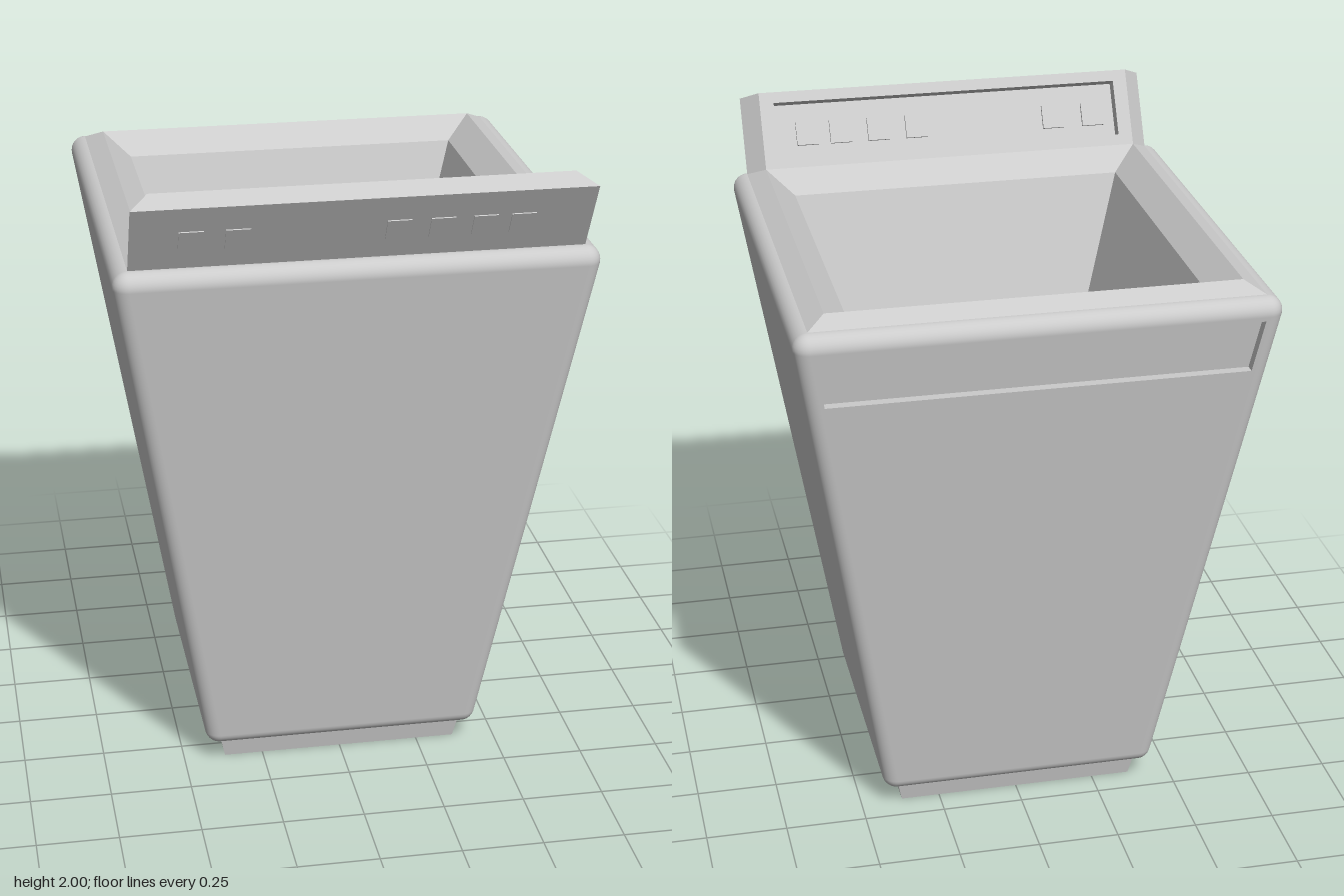
import * as THREE from 'three';

const material = new THREE.MeshStandardMaterial({ color: 0xcccccc });
const ZC = -0.043;                    // body centre in z
const R = 0.045;                      // edge rounding of the body
const LOW = { c: 0.39, y: 0.115 };    // centres of the rounded lower corners
const HIGH = { c: 0.66, y: 1.71 };    // centres of the rounded upper corners
const TILT = -Math.atan2(HIGH.c - LOW.c, HIGH.y - LOW.y);

function addMesh(parent, name, geometry) {
  const mesh = new THREE.Mesh(geometry, material);
  mesh.name = name;
  parent.add(mesh);
  return mesh;
}

// Flat-faced skin through four-cornered rings, the last one closed
function loft(rings, capStart = false) {
  const pos = [];
  const quad = (a, b, c, d) => [a, b, c, a, c, d].forEach(p => pos.push(...p));
  for (let r = 0; r < rings.length - 1; r++) {
    const a = rings[r], b = rings[r + 1];
    for (let i = 0; i < 4; i++) {
      const k = (i + 1) % 4;
      quad(a[i], a[k], b[k], b[i]);
    }
  }
  quad(...rings[rings.length - 1]);
  if (capStart) quad(...[...rings[0]].reverse());
  const g = new THREE.BufferGeometry();
  g.setAttribute('position', new THREE.Float32BufferAttribute(pos, 3));
  g.computeVertexNormals();
  return g;
}

// Horizontal square ring, counter-clockwise from above
const square = (h, y) => [[-h, y, ZC - h], [-h, y, ZC + h], [h, y, ZC + h], [h, y, ZC - h]];

// Upright ring, counter-clockwise from behind
const upright = (h, y0, y1, z) => [[h, y0, z], [-h, y0, z], [-h, y1, z], [h, y1, z]];

// Tapered body with rounded edges; the flat of the back is left open
function shellGeometry() {
  const N = 8, pos = [], nor = [], idx = [];
  const rows = [];
  for (let i = 0; i <= N; i++) {
    rows.push([LOW, THREE.MathUtils.lerp(-Math.PI / 2, TILT, i / N)]);
  }
  for (let i = 0; i <= N; i++) {
    rows.push([HIGH, THREE.MathUtils.lerp(TILT, Math.PI / 2, i / N)]);
  }
  for (const [ctr, phi] of rows) {
    for (let k = 0; k < 4; k++) {
      const sx = k === 0 || k === 3 ? 1 : -1, sz = k < 2 ? 1 : -1;
      for (let j = 0; j <= N; j++) {
        const th = (k + j / N) * Math.PI / 2;
        const n = [Math.cos(phi) * Math.cos(th), Math.sin(phi), Math.cos(phi) * Math.sin(th)];
        pos.push(sx * ctr.c + R * n[0], ctr.y + R * n[1], ZC + sz * ctr.c + R * n[2]);
        nor.push(...n);
      }
    }
  }
  const M = 4 * (N + 1), backFlat = 3 * (N + 1) - 1;
  for (let r = 0; r < rows.length - 1; r++) {
    for (let j = 0; j < M; j++) {
      if (r === N && j === backFlat) continue;
      const k = (j + 1) % M, a = r * M, b = a + M;
      idx.push(a + k, a + j, b + j, a + k, b + j, b + k);
    }
  }
  const g = new THREE.BufferGeometry();
  g.setAttribute('position', new THREE.Float32BufferAttribute(pos, 3));
  g.setAttribute('normal', new THREE.Float32BufferAttribute(nor, 3));
  g.setIndex(idx);
  return g;
}

// Flat of the back with a wide shallow recess below the rim
function backGeometry() {
  const ring = (t0, t1, inset, depth) => {
    const at = (side, t) => {
      const c = THREE.MathUtils.lerp(LOW.c, HIGH.c, t);
      const y = THREE.MathUtils.lerp(LOW.y, HIGH.y, t) + R * Math.sin(TILT);
      return [side * (c - inset), y, ZC - c - R * Math.cos(TILT) + depth];
    };
    return [at(1, t0), at(-1, t0), at(-1, t1), at(1, t1)];
  };
  return loft([ring(0, 1, 0, 0), ring(0.89, 0.992, 0.01, 0), ring(0.89, 0.992, 0.01, 0.03)]);
}

export function createModel() {
  const model = new THREE.Group();
  model.name = 'washingMachine';

  addMesh(model, 'bodyShell', shellGeometry());
  addMesh(model, 'backWithRecess', backGeometry());

  // Raised rim, bevelled mouth and tapering tub
  addMesh(model, 'rimAndTub', loft([
    square(0.66, 1.755), square(0.605, 1.785), square(0.525, 1.72), square(0.34, 1.12),
  ]));

  // Plinth below the body
  const below = (h, y) => square(h, y).reverse();
  addMesh(model, 'plinth', loft([below(0.39, 0.07), below(0.385, 0.07), below(0.37, 0)]));

  // Control panel leaning outwards from the front rim
  const panel = new THREE.Group();
  panel.name = 'controlPanel';
  panel.position.set(0, 1.785, ZC + 0.605);
  panel.rotation.x = Math.PI / 6;
  model.add(panel);
  addMesh(panel, 'panelHousing', loft([
    upright(0.66, 0, 0.248, 0.063),
    upright(0.605, 0, 0.248, 0),
    upright(0.56, 0.035, 0.213, 0),
    upright(0.56, 0.035, 0.213, 0.045),
  ], true));

  // Push buttons, passing right through the panel
  const button = new THREE.BoxGeometry(0.07, 0.075, 0.031);
  for (const x of [-0.487, -0.355, 0.1, 0.225, 0.348, 0.457]) {
    addMesh(panel, 'button', button).position.set(x, 0.116, 0.051);
  }
  return model;
}
